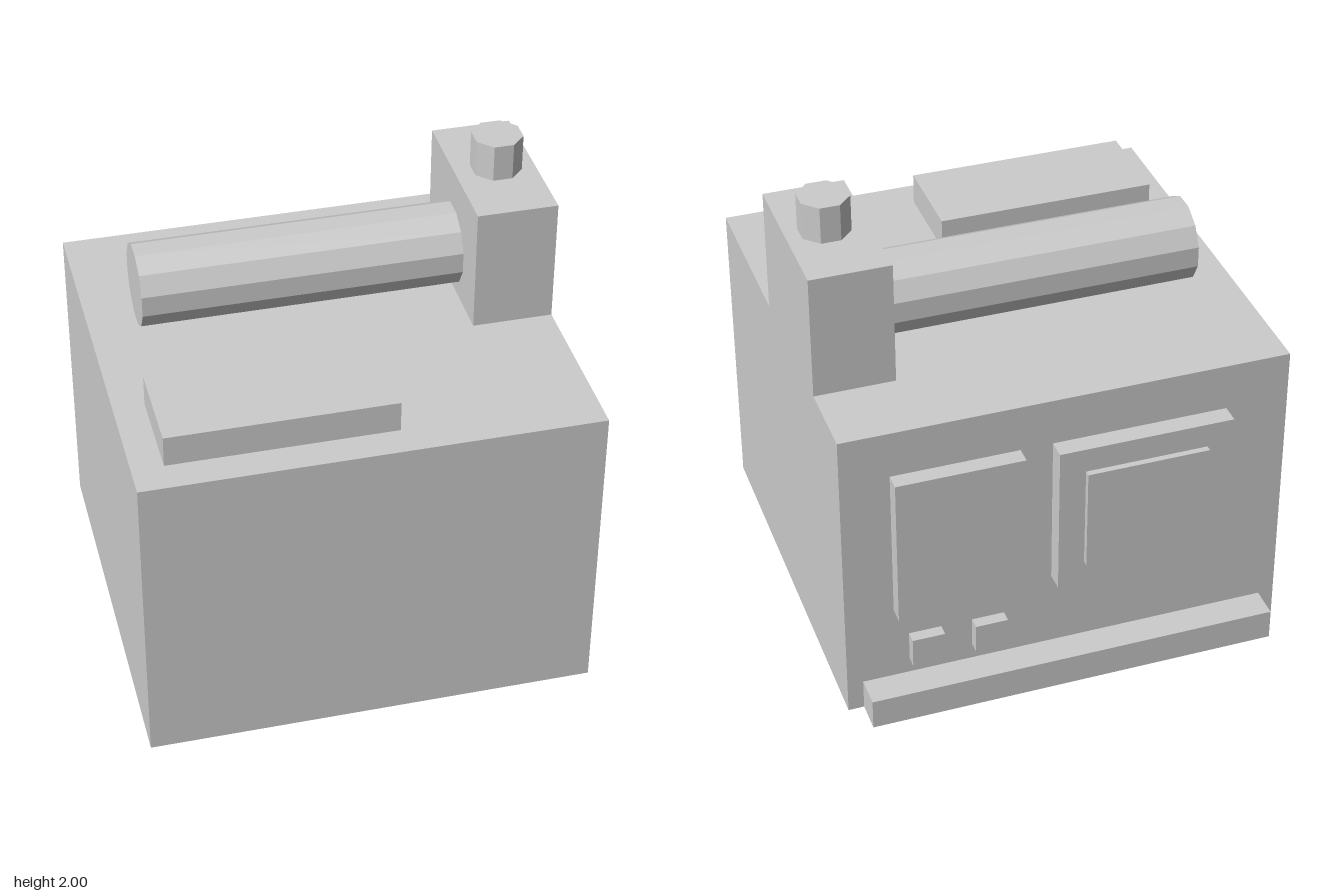
import * as THREE from 'three';

const material = new THREE.MeshStandardMaterial({ color: 0xcccccc, flatShading: true });

export function createModel() {
  const model = new THREE.Group();
  model.name = 'machine';

  const add = (name, geometry, x, y, z) => {
    const mesh = new THREE.Mesh(geometry, material);
    mesh.name = name;
    mesh.position.set(x, y, z);
    model.add(mesh);
    return mesh;
  };

  // Box given by its extents along each axis
  const block = (name, [x0, x1], [y0, y1], [z0, z1]) =>
    add(name, new THREE.BoxGeometry(x1 - x0, y1 - y0, z1 - z0),
      (x0 + x1) / 2, (y0 + y1) / 2, (z0 + z1) / 2);

  // Upright prism with flat sides square to the axes
  const prism = (radius, height, sides) =>
    new THREE.CylinderGeometry(radius, radius, height, sides).rotateY(Math.PI / sides);

  const back = -0.79;
  const top = 1.32;

  // Main housing and the raised parts on its top
  block('housing', [-0.92, 0.92], [0, top], [back, 0.92]);
  block('tower', [0.59, 0.92], [top, 1.845], [-0.465, 0.197]);
  block('topPlate', [-0.793, 0.128], [top, 1.45], [0.393, 0.788]);

  // Chimney on the tower
  add('chimney', prism(0.105, 0.155, 8), 0.763, 1.9225, -0.135);

  // Twelve-sided pipe running sideways from the tower
  add('pipe', prism(0.171, 1.317, 12).rotateZ(Math.PI / 2), -0.0675, 1.515, -0.135);

  // Panels on the back
  block('plainPanel', [0.195, 0.72], [0.465, 1.12], [-0.86, back]);
  block('framedPanel', [-0.66, 0.063], [0.465, 1.12], [-0.87, back]);
  block('framedPanelInset', [-0.552, -0.045], [0.57, 1.015], [-0.896, -0.87]);

  // Two small buttons below the plain panel
  for (const x of [0.262, 0.525]) {
    block('button', [x, x + 0.135], [0.2, 0.33], [-0.84, back]);
  }

  // Rail along the foot of the back
  block('footRail', [-0.855, 0.855], [0, 0.132], [-0.92, back]);

  return model;
}
